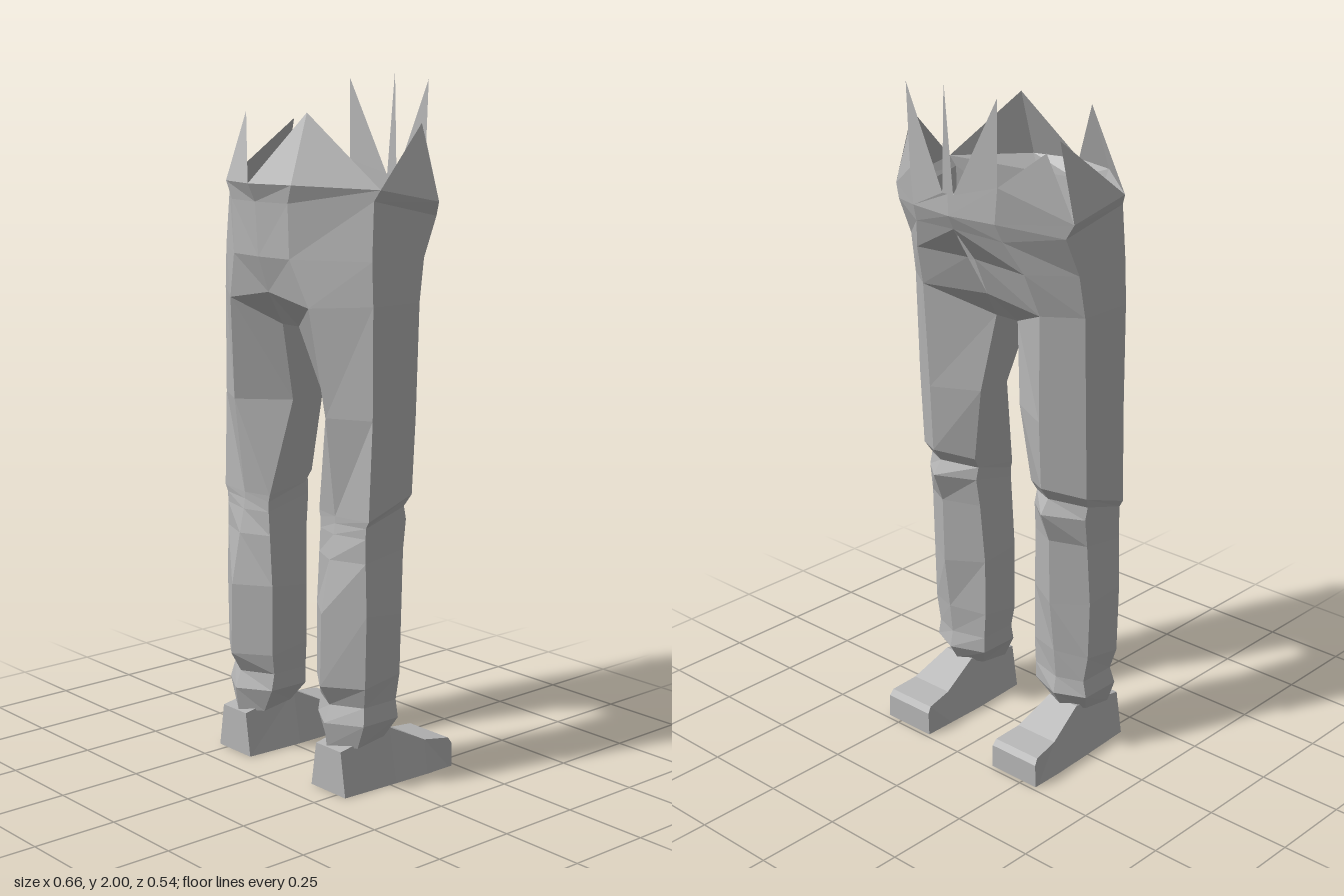
import * as THREE from 'three';

const cloth = new THREE.MeshStandardMaterial({ color: 0xb4b4b4, flatShading: true, side: THREE.DoubleSide });
cloth.name = 'greyCloth';

// Mesh from polygons (fan split); side -1 mirrors across x and flips the corners
function polyMesh(name, polys, side) {
  const pos = [];
  for (const poly of polys) {
    const p = side < 0 ? [...poly].reverse() : poly;
    for (let i = 1; i < p.length - 1; i++) {
      for (const v of [p[0], p[i], p[i + 1]]) pos.push(v[0] * side, v[1], v[2]);
    }
  }
  const g = new THREE.BufferGeometry();
  g.setAttribute('position', new THREE.Float32BufferAttribute(pos, 3));
  g.computeVertexNormals();
  const m = new THREE.Mesh(g, cloth);
  m.name = name;
  return m;
}

// Faces between successive rows of points
function loft(rows, closed) {
  const polys = [];
  for (let r = 0; r < rows.length - 1; r++) {
    const a = rows[r], b = rows[r + 1], n = a.length;
    for (let i = 0; i < (closed ? n : n - 1); i++) {
      const j = (i + 1) % n;
      polys.push([a[i], a[j], b[j]], [a[i], b[j], b[i]]);
    }
  }
  return polys;
}

// Leg ring: front, outer front, outer back, back, inner back, inner front.
// Front edge at height y, back edge at height yb
function ring(y, yb, outer, inner, zFront, zBack, zOF, zOB) {
  const ym = y + (yb - y) * 0.7;
  return [
    [0.2, y, zFront], [outer, y, zOF], [outer, ym, zOB],
    [0.21, yb, zBack], [inner, ym, zOB], [inner, y, zOF],
  ];
}

function buildHalf(side) {
  const half = new THREE.Group();
  half.name = side > 0 ? 'leftHalf' : 'rightHalf';

  // Hip rows: centre front, front, outer front, outer back, back, centre back
  const tear = side > 0 ? 0.025 : 0;
  const hipRows = [
    [[0, 1.4, 0.2], [0.17, 1.37, 0.2], [0.32, 1.38, 0.1], [0.32, 1.38, -0.07], [0.22, 1.38, -0.14], [0, 1.39, -0.11]],
    [[0, 1.5, 0.235], [0.12, 1.5, 0.225], [0.315, 1.5, 0.1], [0.315, 1.5, -0.09], [0.2, 1.5, -0.18], [tear, 1.5, -0.16]],
    [[0, 1.65, 0.245], [0.12, 1.65, 0.23], [0.31, 1.66, 0.09], [0.31, 1.61, -0.14], [0.16, 1.59, -0.22], [0, 1.6, -0.24]],
  ];
  const [C, F, OF, OB, B, K] = hipRows[0];

  // Leg and crotch
  const IF = [0.035, 1.3, 0.12], IB = [0.04, 1.3, -0.03];
  const Mf = [0, 1.3, 0.12], Mb = [0, 1.3, -0.03];
  const thigh = ring(1.07, 1.07, 0.32, 0.075, 0.165, -0.13, 0.1, -0.06);
  thigh[5][2] = 0.05;
  const legRows = [
    ring(0.13, 0.15, 0.275, 0.14, 0.16, -0.03, 0.11, 0.01),
    ring(0.2, 0.2, 0.3, 0.105, 0.17, -0.06, 0.11, -0.02),
    ring(0.25, 0.25, 0.29, 0.105, 0.15, -0.05, 0.1, -0.02),
    ring(0.31, 0.34, 0.305, 0.1, 0.185, -0.06, 0.11, -0.02),
    ring(0.52, 0.5, 0.31, 0.1, 0.18, -0.08, 0.11, -0.02),
    ring(0.67, 0.7, 0.305, 0.11, 0.15, -0.085, 0.11, -0.03),
    ring(0.74, 0.79, 0.305, 0.115, 0.135, -0.12, 0.11, -0.04),
    ring(0.77, 0.83, 0.305, 0.115, 0.13, -0.09, 0.11, -0.03),
    ring(0.79, 0.87, 0.317, 0.11, 0.13, -0.12, 0.11, -0.05),
    thigh,
    [F, OF, OB, B, IB, IF],
  ];
  half.add(polyMesh('leg', loft(legRows, true), side));
  half.add(polyMesh('crotch', [
    [C, IF, F], [C, Mf, IF], [K, B, IB], [K, IB, Mb], [Mf, Mb, IB, IF],
  ], side));
  half.add(polyMesh('hips', loft(hipRows, false), side));

  // Flared waistband
  const band = [
    [0, 1.7, 0.27], [0.14, 1.7, 0.235], [0.325, 1.69, 0.08],
    [0.33, 1.65, -0.13], [0.15, 1.64, -0.24], [0, 1.64, -0.26],
  ];
  half.add(polyMesh('waistband', loft([hipRows[2], band], false), side));

  // Torn spikes around the waist
  const b1 = [0.16, 1.74, -0.24], k1 = [0.02, 1.7, -0.26], k0 = [0, 1.7, -0.26];
  const peak = [0.13, 1.89, 0.17];
  half.add(polyMesh('tornSpikes', [
    [band[0], band[1], peak], [band[1], band[2], peak],
    [band[2], band[3], [0.27, 1.86, -0.12]],
    [band[3], b1, [0.25, 1.83, -0.15]], [band[3], band[4], b1],
    [band[4], band[5], k0, k1, b1],
    [b1, k1, [0.165, 1.975, -0.245]],
    [k1, k0, [0, 2, -0.27]],
  ], side));

  // Foot: sections from heel to toe as z, top height, inner x, outer x, top inset
  const sections = [
    [0.165, 0.13, 0.14, 0.285, 0.02],
    [-0.02, 0.16, 0.13, 0.295, 0.03],
    [-0.14, 0.1, 0.13, 0.3, 0.015],
    [-0.225, 0.088, 0.13, 0.3, 0.005],
    [-0.237, 0.07, 0.13, 0.3, 0.002],
  ].map(([z, h, i, o, t]) => [[o, 0, z], [i, 0, z], [i + t, h, z], [o - t, h, z]]);
  half.add(polyMesh('foot', [
    ...loft(sections, true), [...sections[0]].reverse(), sections[4],
  ], side));
  return half;
}

export function createModel() {
  const model = new THREE.Group();
  model.name = 'tornTrousers';
  for (const side of [1, -1]) model.add(buildHalf(side));
  return model;
}
